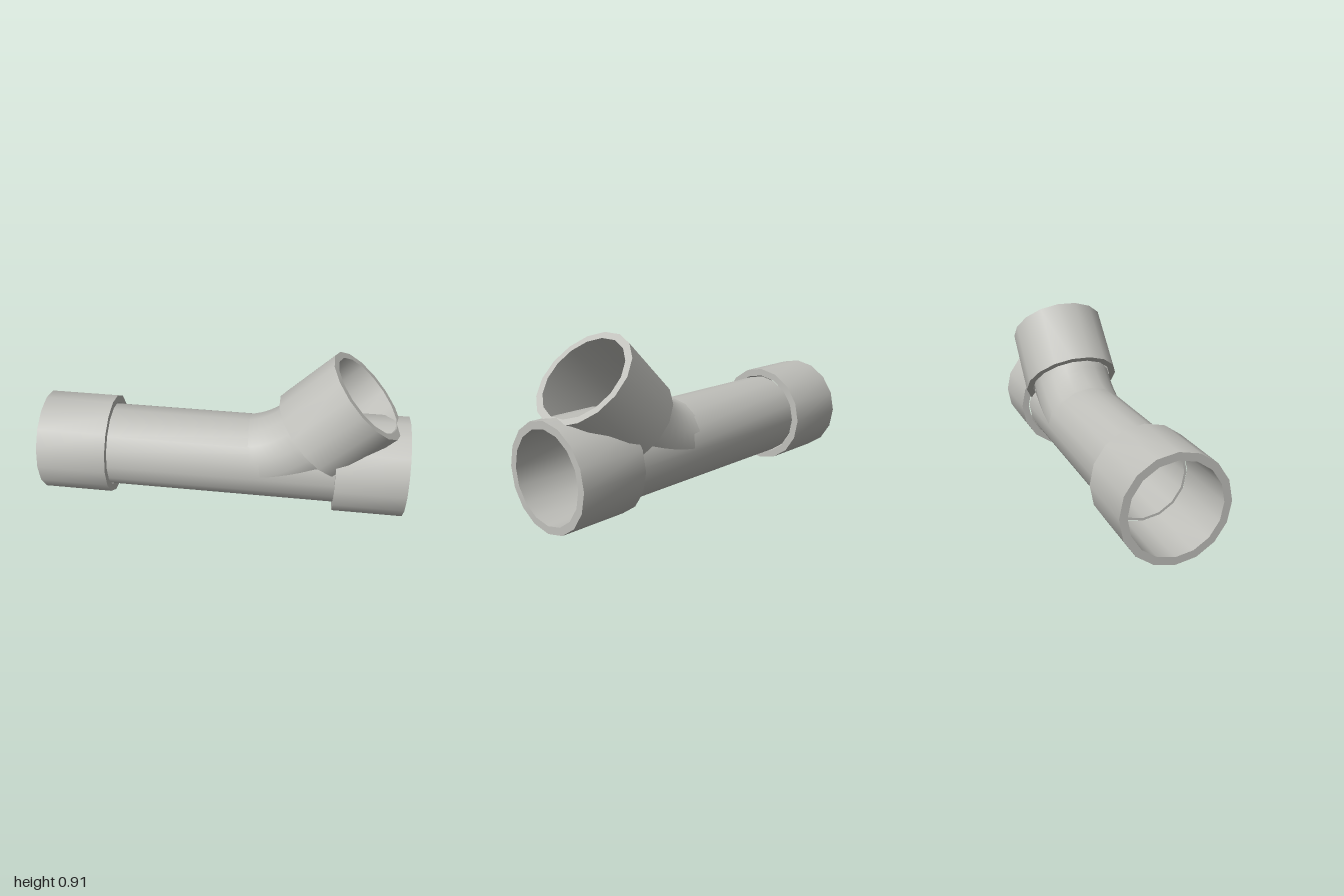
import * as THREE from 'three';
import { toCreasedNormals } from 'three/addons/utils/BufferGeometryUtils.js';

const SIDES = 16;
const AXIS_Y = 0.277;
const PIPE_OUT = 0.23, PIPE_IN = 0.217;
const SOCKET_OUT = 0.277, SOCKET_IN = 0.237, SOCKET_LEN = 0.38;

// hollow cylinder along +y, starting at the origin
function ringTube(outer, inner, length, turn = 0) {
  const profile = [[inner, 0], [outer, 0], [outer, length], [inner, length], [inner, 0]]
    .map(([r, y]) => new THREE.Vector2(r, y));
  return toCreasedNormals(new THREE.LatheGeometry(profile, SIDES, turn), 0.8);
}

// walled pipe swept along a centre line in the xy plane
function bentTube(stations, outer, inner) {
  const loops = [
    ...stations.map((s) => [s, outer]),
    ...stations.slice().reverse().map((s) => [s, inner]),
  ];
  const positions = [], index = [];
  for (const [{ p, t }, r] of loops) {
    for (let j = 0; j < SIDES; j++) {
      const a = (j / SIDES) * Math.PI * 2;
      const up = Math.cos(a) * r;
      positions.push(p.x - t.y * up, p.y + t.x * up, Math.sin(a) * r);
    }
  }
  const n = loops.length;
  for (let i = 0; i < n; i++) {
    for (let j = 0; j < SIDES; j++) {
      const k = (j + 1) % SIDES, m = (i + 1) % n;
      const a = i * SIDES + j, b = i * SIDES + k, c = m * SIDES + k, d = m * SIDES + j;
      index.push(a, b, c, a, c, d);
    }
  }
  const geometry = new THREE.BufferGeometry();
  geometry.setAttribute('position', new THREE.Float32BufferAttribute(positions, 3));
  geometry.setIndex(index);
  return toCreasedNormals(geometry, 0.8);
}

export function createModel() {
  const group = new THREE.Group();
  group.name = 'pipeWye';
  const plastic = new THREE.MeshStandardMaterial({ color: 0xc0c0bb });
  plastic.name = 'light grey plastic';

  function add(name, geometry, x, y, angle) {
    const mesh = new THREE.Mesh(geometry, plastic);
    mesh.name = name;
    mesh.position.set(x, y, 0);
    mesh.rotation.z = angle;
    group.add(mesh);
  }

  // straight run with a socket on each end
  const alongX = -Math.PI / 2;
  add('mainPipe', ringTube(PIPE_OUT, PIPE_IN, 1.26), -0.63, AXIS_Y, alongX);
  add('rightSocket', ringTube(SOCKET_OUT, SOCKET_IN, SOCKET_LEN), -1, AXIS_Y, alongX);
  add('leftSocket', ringTube(SOCKET_OUT, SOCKET_IN, SOCKET_LEN), 0.62, AXIS_Y, alongX);

  // branch pipe curving up to 45 degrees
  const bend = new THREE.QuadraticBezierCurve(
    new THREE.Vector2(0.1, AXIS_Y),
    new THREE.Vector2(0.317, AXIS_Y),
    new THREE.Vector2(0.497, 0.457),
  );
  const stations = [];
  for (let i = 0; i <= 8; i++) {
    stations.push({ p: bend.getPoint(i / 8), t: bend.getTangent(i / 8) });
  }
  add('branchPipe', bentTube(stations, 0.227, 0.215), 0, 0, 0);

  // angled branch socket
  add('branchSocket', ringTube(0.275, SOCKET_IN, SOCKET_LEN, Math.PI / SIDES), 0.49, 0.45, -Math.PI / 4);

  return group;
}
